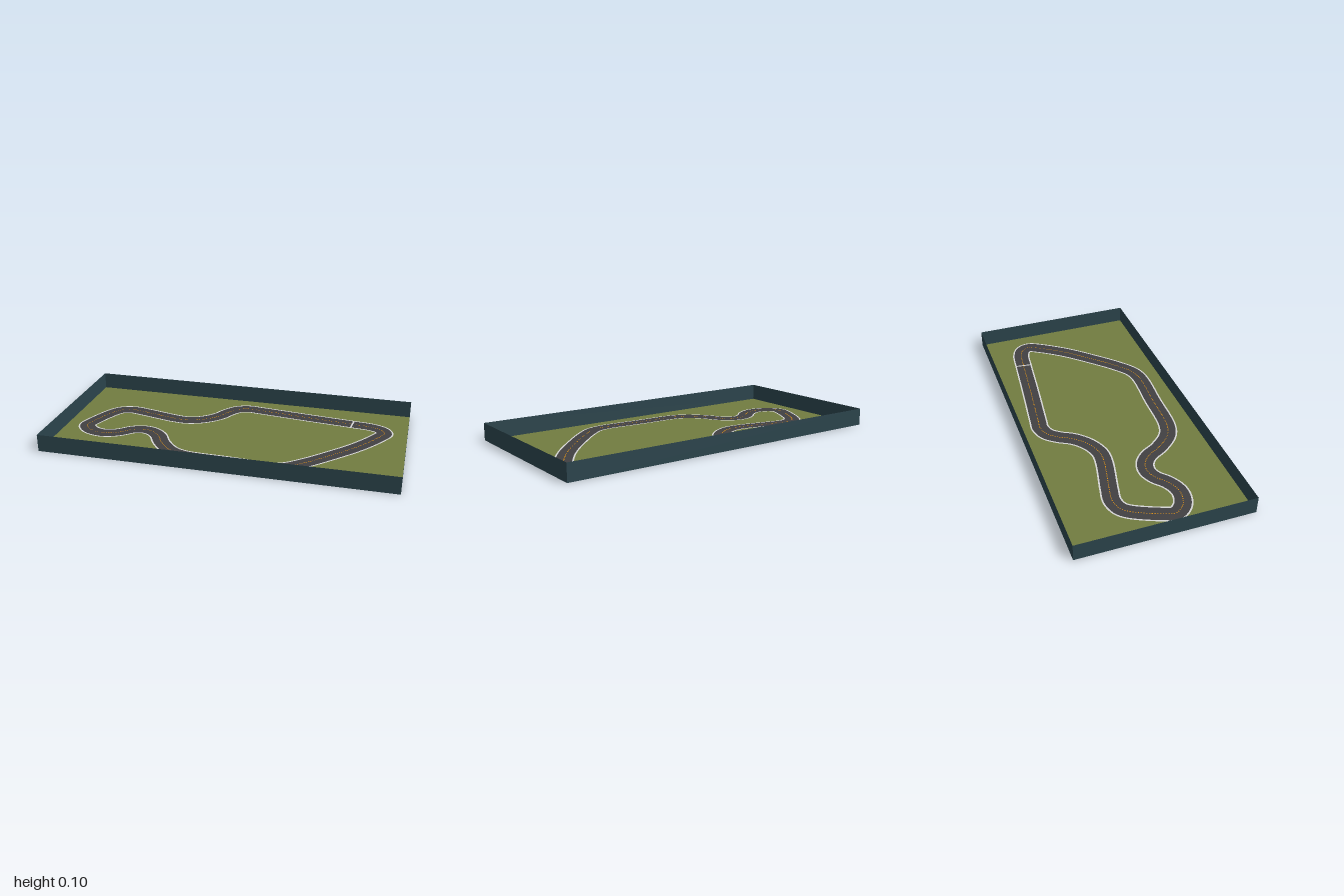
import * as THREE from 'three';

const mat = (name, color) => {
  const m = new THREE.MeshStandardMaterial({ color, side: THREE.DoubleSide });
  m.name = name;
  return m;
};

// Centre of the road as x, z, in driving order
const ROUTE = [
  [0.02, -0.366], [0.08, -0.36], [0.4, -0.323], [0.67, -0.294], [0.79, -0.278],
  [0.85, -0.248], [0.866, -0.205], [0.835, -0.142], [0.735, 0], [0.6, 0.147],
  [0.468, 0.275], [0.377, 0.342], [0.297, 0.361], [0.055, 0.35], [-0.2, 0.337],
  [-0.286, 0.302], [-0.366, 0.217], [-0.415, 0.135], [-0.468, 0.092], [-0.532, 0.08],
  [-0.59, 0.102], [-0.64, 0.145], [-0.7, 0.176], [-0.757, 0.182], [-0.83, 0.157],
  [-0.874, 0.1], [-0.858, 0.035], [-0.783, -0.125], [-0.746, -0.161], [-0.68, -0.177],
  [-0.6, -0.163], [-0.382, -0.115], [-0.302, -0.112], [-0.217, -0.145],
  [-0.142, -0.211], [-0.094, -0.291], [-0.045, -0.345],
];

export function createModel() {
  const model = new THREE.Group();
  const grass = mat('grass green', 0x717c40);
  const wall = mat('wall teal', 0x2b444c);
  const asphalt = mat('asphalt grey', 0x414042);
  const white = mat('line white', 0xd4d4d4);
  const orange = mat('dash orange', 0xe0900f);

  const add = (name, geometry, material) => {
    const mesh = new THREE.Mesh(geometry, material);
    mesh.name = name;
    model.add(mesh);
    return mesh;
  };

  // Tray: a flat floor with four thin upright walls
  const W = 2, D = 0.98, H = 0.1;
  add('floor', new THREE.PlaneGeometry(W, D).rotateX(-Math.PI / 2), grass);
  for (const s of [1, -1]) {
    const turn = s > 0 ? 0 : Math.PI;
    add(s > 0 ? 'frontWall' : 'backWall',
      new THREE.PlaneGeometry(W, H).rotateY(turn).translate(0, H / 2, s * D / 2), wall);
    add(s > 0 ? 'leftWall' : 'rightWall',
      new THREE.PlaneGeometry(D, H).rotateY(s * Math.PI / 2).translate(s * W / 2, H / 2, 0), wall);
  }

  const curve = new THREE.CatmullRomCurve3(
    ROUTE.map(([x, z]) => new THREE.Vector3(x, 0, z)), true, 'centripetal');
  curve.arcLengthDivisions = 1500;

  // Flat strips along the route between two side offsets
  const ribbon = (spans, inner, outer, y, steps) => {
    const pos = [], index = [];
    for (const [from, to] of spans) {
      for (let i = 0; i <= steps; i++) {
        const u = (from + (to - from) * i / steps) % 1;
        const p = curve.getPointAt(u), t = curve.getTangentAt(u);
        for (const d of [inner, outer]) pos.push(p.x - t.z * d, y, p.z + t.x * d);
        if (i < steps) {
          const k = pos.length / 3 - 2;
          index.push(k, k + 1, k + 2, k + 1, k + 3, k + 2);
        }
      }
    }
    const g = new THREE.BufferGeometry();
    g.setAttribute('position', new THREE.Float32BufferAttribute(pos, 3));
    g.setIndex(index);
    g.computeVertexNormals();
    return g;
  };

  // Road surface and its edge lines
  add('road', ribbon([[0, 1]], -0.044, 0.044, 0.002, 360), asphalt);
  add('outerEdgeLine', ribbon([[0, 1]], -0.053, -0.044, 0.002, 360), white);
  add('innerEdgeLine', ribbon([[0, 1]], 0.044, 0.053, 0.002, 360), white);

  // Centre dashes
  const count = 300;
  const dashes = Array.from({ length: count }, (_, i) => [i / count, (i + 0.5) / count]);
  add('centreDashes', ribbon(dashes, -0.0025, 0.0025, 0.003, 1), orange);

  // Start line across the road on the back straight
  const start = add('startLine', new THREE.PlaneGeometry(0.01, 0.1).rotateX(-Math.PI / 2), white);
  start.position.set(0.67, 0.004, -0.294);
  start.rotation.y = -0.115;

  return model;
}
